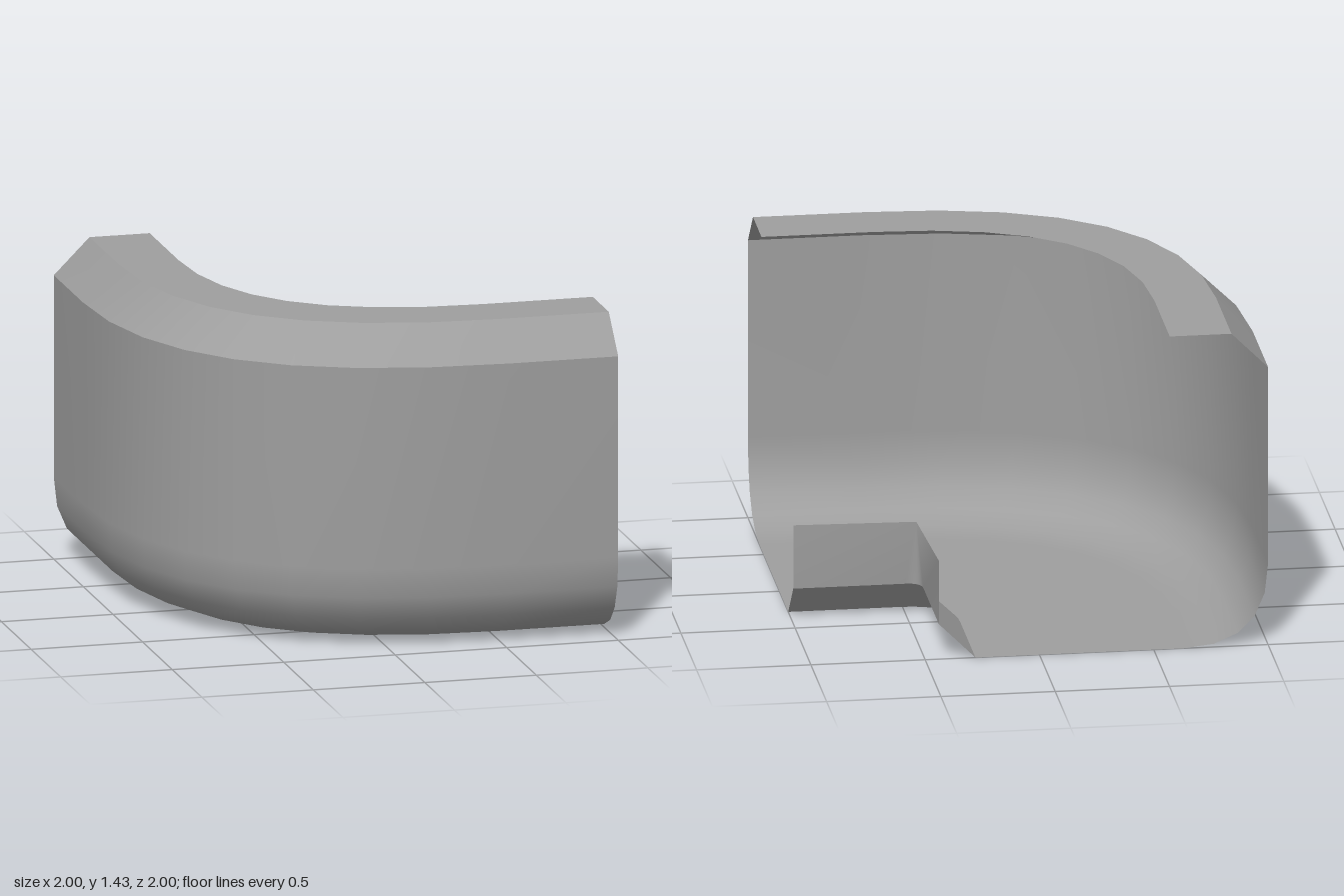
import * as THREE from 'three';
import { mergeVertices } from 'three/addons/utils/BufferGeometryUtils.js';

const material = new THREE.MeshStandardMaterial({ color: 0x9e9e9e, side: THREE.DoubleSide });

// Plan curve at offset d: straight run, quadratic bend in 8 steps, straight run
function bend(d, y) {
  const curve = new THREE.QuadraticBezierCurve(
    new THREE.Vector2(-d, -0.51), new THREE.Vector2(-d, d), new THREE.Vector2(0.51, d));
  return [[-d, y, -1], ...curve.getPoints(8).map(p => [p.x, y, p.y]), [1, y, d]];
}

// Plan line with one sharp corner, with as many points as the bend
function sharpCorner(d, corner, y) {
  const middle = Array.from({ length: 9 }, () => [corner, y, -corner]);
  return [[-d, y, -1], ...middle, [1, y, d]];
}

// Smooth skin over rows of points; edges between two panels stay crisp
function panel(name, rows) {
  const n = rows[0].length;
  const index = [];
  for (let j = 0; j < rows.length - 1; j++) {
    for (let i = 0; i < n - 1; i++) {
      const a = j * n + i, b = a + n;
      index.push(a, b, a + 1, a + 1, b, b + 1);
    }
  }
  const geometry = new THREE.BufferGeometry();
  geometry.setAttribute('position', new THREE.Float32BufferAttribute(rows.flat(2), 3));
  geometry.setIndex(index);
  const merged = mergeVertices(geometry);
  merged.computeVertexNormals();
  const mesh = new THREE.Mesh(merged, material);
  mesh.name = name;
  return mesh;
}

export function createModel() {
  const group = new THREE.Group();

  // Rounded foot between outer wall and floor
  const foot = new THREE.QuadraticBezierCurve(
    new THREE.Vector2(1, 0.37), new THREE.Vector2(1, 0), new THREE.Vector2(0.63, 0));

  group.add(
    panel('topLip', [bend(0.57, 1.43), bend(0.84, 1.43)]),
    panel('topChamfer', [bend(0.84, 1.43), bend(1, 1.27)]),
    panel('wallAndFloor', [
      bend(1, 1.27),
      ...foot.getPoints(5).map(p => bend(p.x, p.y)),
      bend(-0.28, 0),
    ]),
    panel('curbChamfer', [bend(-0.28, 0), bend(-0.44, 0.16)]),
    panel('innerCurb', [bend(-0.44, 0.16), sharpCorner(-0.44, 0.465, 0.45)]),
  );
  return group;
}
